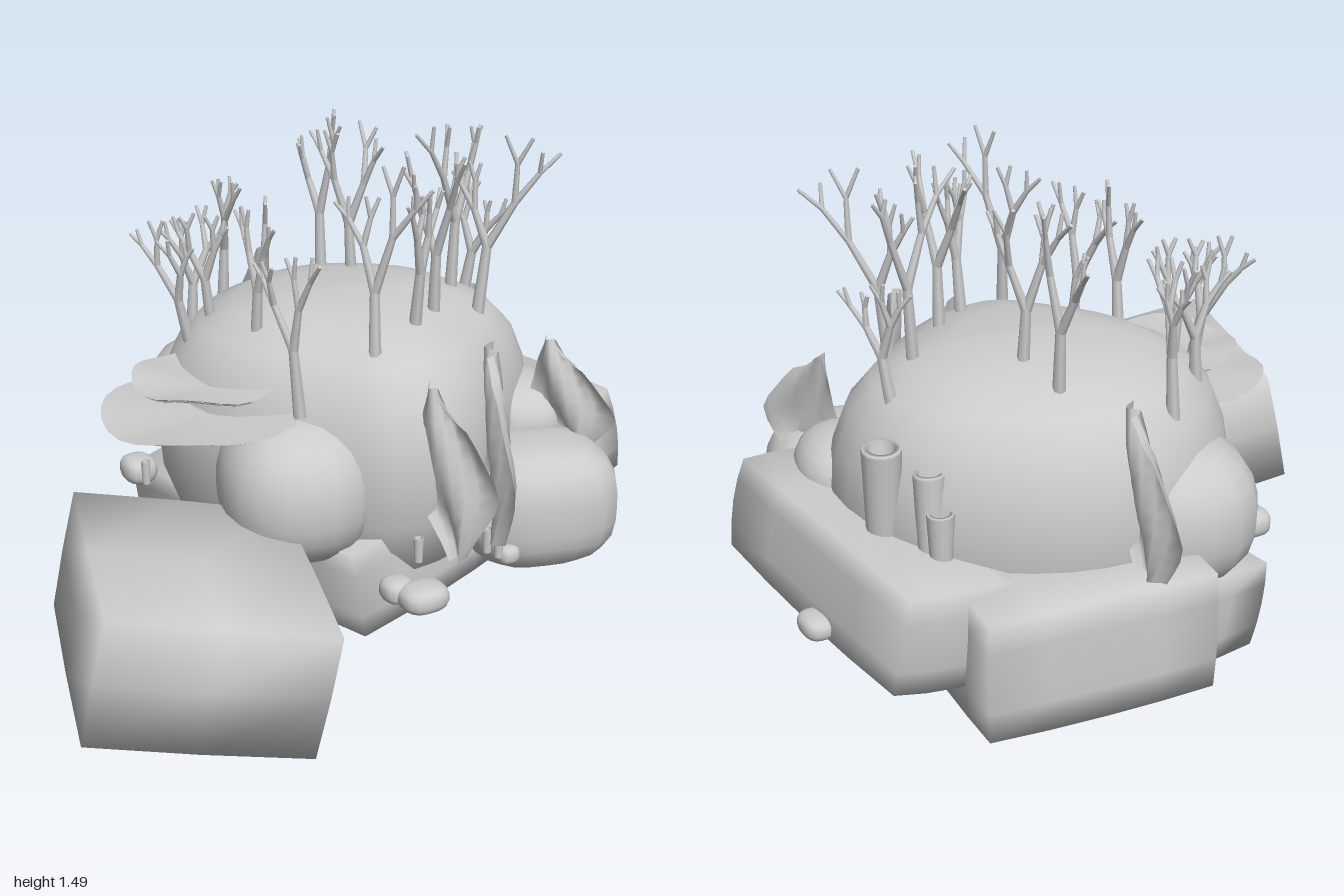
import * as THREE from 'three';
import { mergeVertices, mergeGeometries } from 'three/addons/utils/BufferGeometryUtils.js';

const stone = new THREE.MeshStandardMaterial({ color: 0xcccccc });
const thin = new THREE.MeshStandardMaterial({ color: 0xcccccc, side: THREE.DoubleSide });

let seed = 7;
const rnd = () => (seed = (seed * 16807) % 2147483647) / 2147483647;
const vary = (a) => (rnd() * 2 - 1) * a;

function add(parent, name, geometry, material = stone) {
  const mesh = new THREE.Mesh(geometry, material);
  mesh.name = name;
  parent.add(mesh);
  return mesh;
}

// move every vertex by a rule, then rebuild smooth normals
function reshape(geometry, rule) {
  geometry.deleteAttribute('uv');
  geometry.deleteAttribute('normal');
  const g = mergeVertices(geometry, 1e-4);
  const p = g.attributes.position, v = new THREE.Vector3();
  for (let i = 0; i < p.count; i++) {
    rule(v.fromBufferAttribute(p, i));
    p.setXYZ(i, v.x, v.y, v.z);
  }
  g.computeVertexNormals();
  return g;
}

// softly worn block; k pulls the corners in
function slab(parent, name, size, pos, [rx, ry, rz], k = 0.05, seg = 4) {
  const g = reshape(new THREE.BoxGeometry(2, 2, 2, seg, seg, seg), (v) => {
    const x = v.x * v.x, y = v.y * v.y, z = v.z * v.z;
    v.set(v.x * (1 - k * (y + z) / 2), v.y * (1 - k * (x + z)), v.z * (1 - k * (x + y) / 2));
    v.multiply(new THREE.Vector3(...size)).multiplyScalar(0.5);
  });
  const m = add(parent, name, g);
  m.position.set(...pos);
  m.rotation.set(rx, ry, rz, 'YXZ');
}

// rounded boulder; higher power is squarer
function boulder(parent, name, radii, pos, power = 2.4, yaw = 0) {
  const g = reshape(new THREE.SphereGeometry(1, 20, 14), (v) => {
    const n = (Math.abs(v.x) ** power + Math.abs(v.y) ** power + Math.abs(v.z) ** power) ** (1 / power);
    v.divideScalar(n).multiply(new THREE.Vector3(...radii));
  });
  const m = add(parent, name, g);
  m.position.set(...pos);
  m.rotation.y = yaw;
}

// main mound: one plan outline scaled through a height profile
function mound(parent) {
  const outline = [[0.67, -0.2], [0.51, 0.1], [0.3, 0.35], [0.08, 0.43], [-0.15, 0.31], [-0.42, 0.1],
    [-0.56, -0.18], [-0.47, -0.5], [-0.25, -0.72], [0, -0.79], [0.25, -0.75], [0.5, -0.62], [0.64, -0.42]];
  const ring = new THREE.CatmullRomCurve3(outline.map(([x, z]) => new THREE.Vector3(x, 0, z)), true).getSpacedPoints(36);
  const profile = [[0.6, 0.12], [0.88, 0.25], [0.98, 0.42], [1, 0.58], [0.97, 0.7], [0.9, 0.81],
    [0.78, 0.89], [0.6, 0.945], [0.35, 0.985], [0.001, 0.99]];
  const cx = 0.06, cz = -0.2, N = 36, pos = [], idx = [];
  profile.forEach(([s, y], j) => {
    for (let i = 0; i < N; i++) {
      const p = ring[i];
      pos.push(cx + (p.x - cx) * s, y, cz + (p.z - cz) * s);
      if (j) {
        const a = (j - 1) * N + i, b = (j - 1) * N + (i + 1) % N;
        idx.push(a, b, a + N, b, b + N, a + N);
      }
    }
  });
  // outline runs clockwise from above, so reverse the corners
  for (let i = 0; i < idx.length; i += 3) [idx[i + 1], idx[i + 2]] = [idx[i + 2], idx[i + 1]];
  const g = new THREE.BufferGeometry();
  g.setAttribute('position', new THREE.Float32BufferAttribute(pos, 3));
  g.setIndex(idx);
  g.computeVertexNormals();
  add(parent, 'mound', g);
}

// wavy upright sea fan whose local x points away from the mound
function fan(parent, [x, y, z], [dx, dz], w, h) {
  const width = new THREE.SplineCurve([[0, 0.14], [0.2, 0.55], [0.45, 0.95], [0.7, 0.8], [0.9, 0.55], [1, 0.12]]
    .map((p) => new THREE.Vector2(...p)));
  const g = reshape(new THREE.PlaneGeometry(1, 1, 8, 10), (v) => {
    const t = v.y + 0.5, s = v.x;
    v.x = w * (s * width.getPoint(t).y + 0.08 - 0.3 * t * t);
    v.y = h * (t + (t > 0.9 ? -0.08 * s : 0));
    v.z = 0.022 * Math.sin(s * 9 + t * 4);
  });
  const m = add(parent, 'seaFan', g, thin);
  m.position.set(x, y, z);
  m.rotation.y = Math.atan2(-dz, dx);
}

// shallow wavy plate
function plate(parent, r, pos, tilt) {
  const g = reshape(new THREE.CylinderGeometry(r, r * 0.9, 0.012, 28, 1), (v) => {
    const d = Math.hypot(v.x, v.z) / r, a = Math.atan2(v.z, v.x);
    v.y += 0.04 * d - 0.02 + 0.012 * d * Math.sin(a * 4);
  });
  const m = add(parent, 'plateCoral', g, thin);
  m.position.set(...pos);
  m.rotation.z = tilt;
}

// hollow tube with a rim
function tube(parent, r, h, pos, lean = [0, 0]) {
  const pts = [[r * 0.8, 0], [r, h * 0.97], [r * 0.95, h], [r * 0.7, h], [r * 0.62, h * 0.75], [0, h * 0.72]];
  const m = add(parent, 'tubeSponge', new THREE.LatheGeometry(pts.map((p) => new THREE.Vector2(...p)), 14), thin);
  m.position.set(...pos);
  m.rotation.set(lean[0], 0, lean[1]);
}

// forked coral made of tapered limbs
function branchCoral(parent, [x, y, z, h, leanX, turn]) {
  const limbs = [], up = new THREE.Vector3(0, 1, 0);
  const grow = (from, dir, len, r, depth) => {
    const to = from.clone().addScaledVector(dir, len);
    const limb = new THREE.CylinderGeometry(r * 0.72, r, len * 1.04, 6, 1);
    limb.applyQuaternion(new THREE.Quaternion().setFromUnitVectors(up, dir));
    limb.translate(...from.clone().lerp(to, 0.5).toArray());
    limbs.push(limb);
    if (!depth) return;
    const a = turn + vary(0.6);
    for (const s of [-1, 1]) {
      const k = s * (0.45 + vary(0.2));
      const d = dir.clone().add(new THREE.Vector3(Math.cos(a) * k, 0.25, Math.sin(a) * k)).normalize();
      grow(to, d, len * (0.68 + vary(0.12)), r * 0.72, depth - 1);
    }
  };
  grow(new THREE.Vector3(x, y - 0.04, z), new THREE.Vector3(leanX, 1, vary(0.12)).normalize(), h * 0.42, 0.021, 3);
  add(parent, 'branchCoral', mergeGeometries(limbs));
}

export function createModel() {
  const reef = new THREE.Group();
  reef.name = 'reef';
  mound(reef);

  // foundation blocks
  slab(reef, 'baseSlab', [0.66, 0.3, 1.14], [-0.05, 0.23, -0.2], [-0.07, 0.5, 0.13], 0.03);
  slab(reef, 'sideSlab', [0.44, 0.33, 0.98], [0.57, 0.39, -0.42], [-0.07, 0.4, 0.17], 0.06);
  slab(reef, 'backSlab', [0.72, 0.39, 0.64], [0.07, 0.29, -0.63], [0, 0.19, 0], 0.03);
  slab(reef, 'looseBlock', [0.66, 0.39, 0.79], [-0.598, 0.31, 0.6], [0, 0, -0.215], 0.015, 2);

  // boulders around the mound
  boulder(reef, 'frontBoulder', [0.24, 0.23, 0.26], [-0.2, 0.51, 0.19]);
  boulder(reef, 'cornerBoulder', [0.25, 0.2, 0.21], [0.57, 0.38, 0.2], 3);
  boulder(reef, 'leftBoulder', [0.17, 0.13, 0.2], [0.59, 0.55, -0.1]);
  boulder(reef, 'backBoulder', [0.29, 0.23, 0.27], [-0.27, 0.51, -0.49], 2.5);

  // pebbles
  for (const [radii, pos] of [
    [[0.075, 0.042, 0.065], [0.095, 0.29, 0.585]], [[0.05, 0.038, 0.05], [0.03, 0.295, 0.535]],
    [[0.05, 0.035, 0.065], [0.765, 0.295, -0.575]], [[0.035, 0.03, 0.035], [0.42, 0.29, 0.39]],
    [[0.055, 0.045, 0.065], [-0.615, 0.35, -0.36]]]) boulder(reef, 'pebble', radii, pos, 2.8, 0.3);

  // sea fans
  fan(reef, [0.22, 0.33, 0.45], [0.22, 0.17], 0.29, 0.54);
  fan(reef, [0.37, 0.35, 0.4], [0, 1], 0.34, 0.59);
  fan(reef, [0.7, 0.48, 0.12], [0.22, 0.23], 0.32, 0.37);
  fan(reef, [-0.13, 0.43, -0.83], [-0.09, -0.31], 0.34, 0.52);

  // plates
  plate(reef, 0.335, [-0.43, 0.715, 0.04], 0.08);
  plate(reef, 0.235, [-0.43, 0.79, 0.01], 0);

  // tubes
  tube(reef, 0.058, 0.32, [0.56, 0.5, -0.53], [-0.08, 0]);
  tube(reef, 0.046, 0.27, [0.44, 0.49, -0.64], [0.06, 0]);
  tube(reef, 0.04, 0.16, [0.42, 0.5, -0.68]);
  for (const [x, y, z] of [[0.13, 0.31, 0.41], [0.35, 0.31, 0.4], [0.38, 0.3, 0.42], [-0.6, 0.33, -0.28]])
    tube(reef, 0.016, 0.08, [x, y, z]);

  // branching corals: x, y, z, height, sideways lean, fork direction
  for (const t of [
    [0.04, 0.91, 0.22, 0.56, 0.02, 0.3], [-0.2, 0.8, 0.26, 0.5, -0.08, 1.2], [-0.27, 0.9, -0.05, 0.47, 0.02, 1.3],
    [-0.37, 0.9, -0.27, 0.4, -0.12, 0.5], [-0.45, 0.87, -0.22, 0.38, -0.22, 0.4], [-0.42, 0.87, -0.36, 0.36, 0.05, 0.1],
    [-0.28, 0.87, -0.58, 0.45, 0.04, 1.2], [0.12, 0.97, -0.4, 0.47, -0.05, 0.9], [0.05, 0.95, -0.55, 0.5, 0, 1.3],
    [0.2, 0.96, 0.08, 0.48, 0.05, -0.9], [0.29, 0.97, -0.02, 0.5, 0, 1.4], [0.41, 0.96, -0.24, 0.58, 0.05, -0.9],
    [0.46, 0.94, -0.1, 0.52, 0.12, 0], [0.5, 0.91, -0.38, 0.34, 0.15, 0.8]]) branchCoral(reef, t);

  return reef;
}
